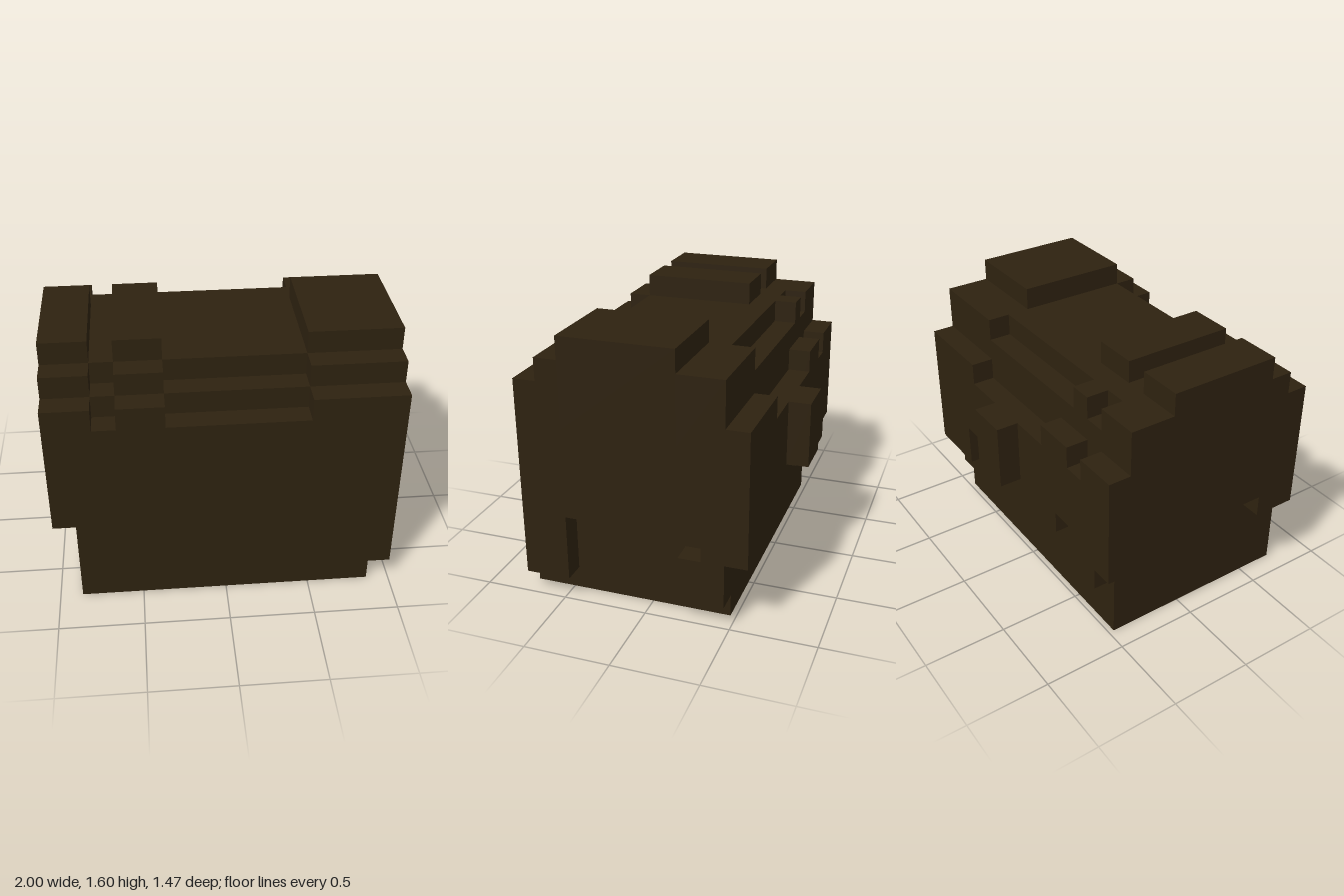
import * as THREE from 'three';
import { mergeGeometries } from 'three/addons/utils/BufferGeometryUtils.js';

// Everything sits on a 15 x 12 x 11 block grid; i runs along x, j up y, k from front to back
const U = 2 / 15;

function block([i0, i1, j0, j1, k0, k1]) {
  const g = new THREE.BoxGeometry((i1 - i0) * U, (j1 - j0) * U, (k1 - k0) * U);
  return g.translate(-1 + (i0 + i1) / 2 * U, (j0 + j1) / 2 * U, (5.5 - (k0 + k1) / 2) * U);
}

export function createModel() {
  const group = new THREE.Group();
  const hair = new THREE.MeshStandardMaterial({ color: 0x2e2210 });
  hair.name = 'darkBrownHair';

  const part = (name, blocks) => {
    const mesh = new THREE.Mesh(mergeGeometries(blocks.map(block)), hair);
    mesh.name = name;
    group.add(mesh);
  };

  part('core', [[1, 14, 0, 8, 0, 9]]);

  // Stepped strips over the crown: [k0, k1, top]
  const raised = [[0, 1, 10], [1, 2, 11], [2, 7, 12], [7, 9, 11]];
  const trimmed = [[0, 1, 10], [1, 2, 11], [2, 7, 12], [7, 8, 11], [8, 9, 10]];
  const sunken = [[0, 1, 9], [1, 2, 10], [2, 8, 11], [8, 9, 10]];
  const strips = [[0, 2, raised], [2, 3, sunken], [3, 4, raised], [4, 5, trimmed], [5, 11, sunken], [11, 15, raised]];
  part('crownLocks', strips.flatMap(([i0, i1, steps]) =>
    steps.map(([k0, k1, top]) => [i0, i1, 8, top, k0, k1])));

  // Side layers, one block thick, with ear openings
  part('rightSide', [
    [0, 1, 5, 8, 0, 9],
    [0, 1, 4, 5, 0, 2],
    [0, 1, 4, 5, 8, 9],
  ]);
  part('leftSide', [
    [14, 15, 4, 8, 0, 9],
    [14, 15, 1, 4, 0, 2],
    [14, 15, 1, 4, 8, 9],
    [14, 15, 1, 3, 7, 8],
  ]);

  // Ragged back layer: [i0, i1, bottom, top]
  const back = [
    [0, 1, 4, 9], [1, 2, 3, 9], [2, 3, 4, 8], [3, 4, 5, 9], [4, 5, 4, 9],
    [5, 7, 4, 8], [7, 11, 5, 8], [11, 12, 5, 9], [12, 15, 3, 9],
  ];
  part('backLocks', back.map((b) => [...b, 9, 10]));
  part('backTuft', [[7, 9, 5, 8, 10, 11]]);

  return group;
}
